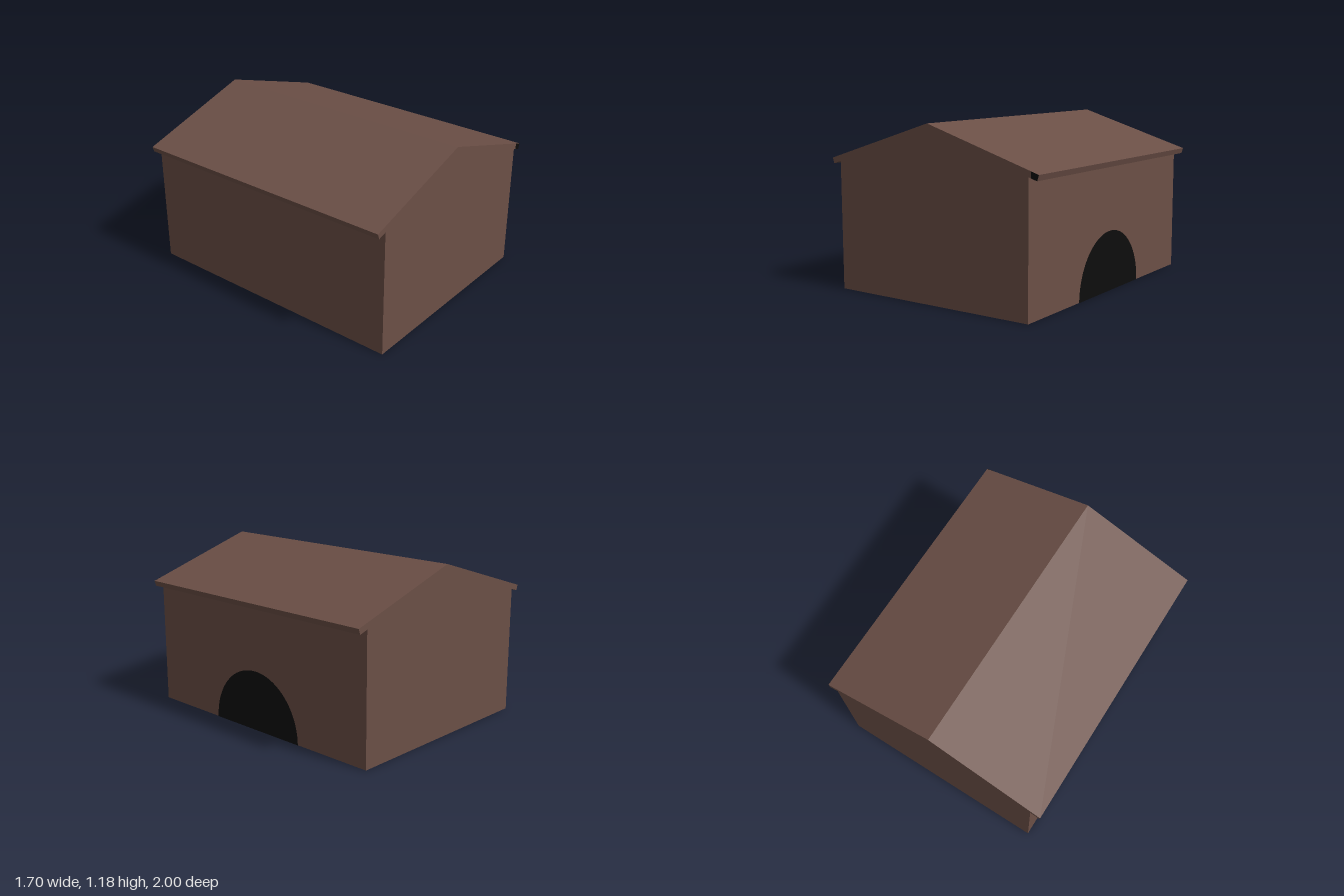
import * as THREE from 'three';

const HALF_W = 0.775;  // wall half width
const HALF_L = 1;      // half length, roof and walls alike
const EAVE_X = 0.85, EAVE_Y = 0.915, RIDGE_Y = 1.183;
const SLOPE = (RIDGE_Y - EAVE_Y) / EAVE_X;
const THICK = 0.04;    // roof thickness, square to the slope
const ANGLE = Math.atan(SLOPE);
const DROP = THICK / Math.cos(ANGLE);
const LIP_X = EAVE_X - THICK * Math.sin(ANGLE);
const LIP_Y = EAVE_Y - THICK * Math.cos(ANGLE);

const topAt = x => RIDGE_Y - SLOPE * Math.abs(x);
const underAt = x => topAt(x) - DROP;
const polygon = pts => new THREE.Shape(pts.map(p => new THREE.Vector2(...p)));

export function createModel() {
  const group = new THREE.Group();
  const brown = new THREE.MeshStandardMaterial({ color: 0x6b4f46, side: THREE.DoubleSide });
  brown.name = 'brown wood';
  const black = new THREE.MeshStandardMaterial({ color: 0x0d0d0d, side: THREE.DoubleSide });
  black.name = 'dark opening';

  const add = (name, geometry, material) => {
    const mesh = new THREE.Mesh(geometry, material);
    mesh.name = name;
    group.add(mesh);
    return mesh;
  };

  // Gabled roof: a chevron profile run along the house
  const roof = new THREE.ExtrudeGeometry(polygon([
    [0, RIDGE_Y], [-EAVE_X, EAVE_Y], [-LIP_X, LIP_Y],
    [0, underAt(0)], [LIP_X, LIP_Y], [EAVE_X, EAVE_Y],
  ]), { depth: 2 * HALF_L, bevelEnabled: false });
  add('roof', roof.translate(0, 0, -HALF_L), brown);

  // Thin gable walls, front and back; the floor is open
  const wallTop = underAt(HALF_W);
  const gable = new THREE.ShapeGeometry(polygon([
    [-HALF_W, 0], [HALF_W, 0], [HALF_W, wallTop], [0, underAt(0)], [-HALF_W, wallTop],
  ]));
  add('frontWall', gable, brown).position.z = HALF_L;
  const back = add('backWall', gable, brown);
  back.position.z = -HALF_L;
  back.rotation.y = Math.PI;

  // Thin long walls
  for (const side of [1, -1]) {
    const wall = add(side > 0 ? 'leftWall' : 'rightWall',
      new THREE.PlaneGeometry(2 * HALF_L, wallTop), brown);
    wall.position.set(side * HALF_W, wallTop / 2, 0);
    wall.rotation.y = side * Math.PI / 2;
  }

  // Arched doorway on the left wall
  const arch = new THREE.Shape();
  arch.moveTo(0.405, 0);
  arch.absellipse(0, 0, 0.405, 0.422, 0, Math.PI, false);
  arch.closePath();
  const door = add('doorway', new THREE.ShapeGeometry(arch, 32), black);
  door.position.x = HALF_W + 0.003;
  door.rotation.y = Math.PI / 2;

  // Dark end of the front left eave
  const capX = 0.795;
  add('eaveEnd', new THREE.ShapeGeometry(polygon([
    [capX, underAt(capX)], [LIP_X, LIP_Y], [EAVE_X, EAVE_Y], [capX, topAt(capX)],
  ])), black).position.z = HALF_L + 0.002;

  return group;
}
